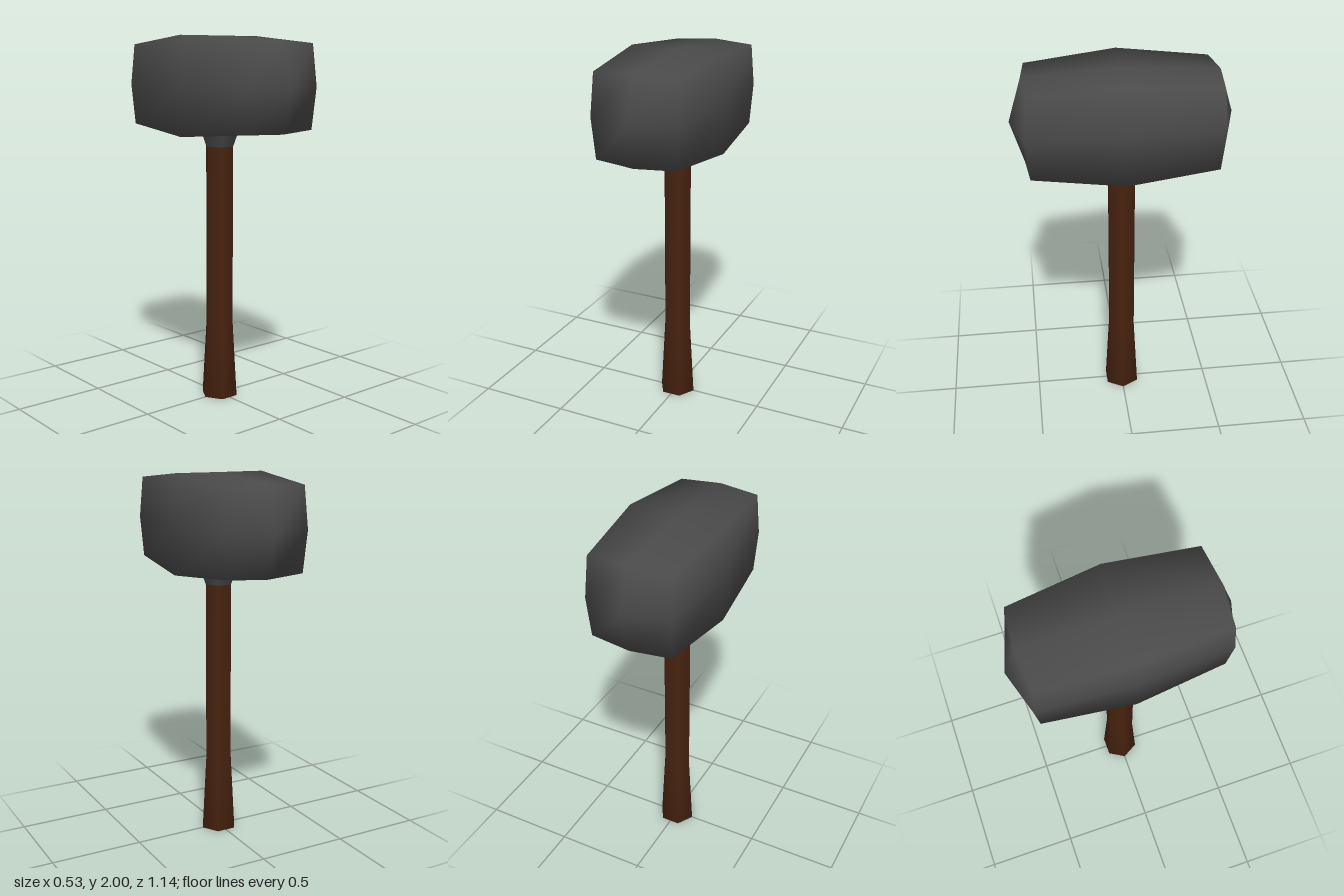
import * as THREE from 'three';
import { mergeVertices } from 'three/addons/utils/BufferGeometryUtils.js';

export function createModel() {
  const model = new THREE.Group();
  const iron = new THREE.MeshStandardMaterial({ color: 0x4a4a4a });
  iron.name = 'dark iron';
  const wood = new THREE.MeshStandardMaterial({ color: 0x48230f });
  wood.name = 'dark brown wood';

  const add = (name, geometry, material) => {
    const mesh = new THREE.Mesh(geometry, material);
    mesh.name = name;
    model.add(mesh);
    return mesh;
  };

  // Head: a block of 2 x 2 x 2 cells, bulging at the waist and at both ends
  const box = new THREE.BoxGeometry(2, 2, 2, 2, 2, 2);
  box.deleteAttribute('uv');
  box.deleteAttribute('normal');
  const head = mergeVertices(box);
  const pos = head.attributes.position;
  for (let i = 0; i < pos.count; i++) {
    const x = Math.round(pos.getX(i));
    const y = Math.round(pos.getY(i));
    const z = Math.round(pos.getZ(i));
    const offAxis = Math.abs(x) + Math.abs(y); // 0 centre, 1 edge middle, 2 corner
    const half = z === 0 ? 0.263 : offAxis === 2 ? 0.22 : 0.232;
    const depth = [0.57, 0.5, 0.48][offAxis];
    pos.setXYZ(i, x * half, 1.737 + y * half, z * depth);
  }
  head.computeVertexNormals();
  add('head', head, iron);

  // Six-sided turned parts, with corners on the x axis
  const turned = (profile) => new THREE.LatheGeometry(
    profile.map(([r, y]) => new THREE.Vector2(r, y)), 6, Math.PI / 2);

  // Handle with a flared grip and closed foot
  add('handle', turned([[0, 0], [0.103, 0], [0.078, 0.43], [0.078, 1.41]]), wood);

  // Collar between handle and head
  add('collar', turned([[0.078, 1.41], [0.106, 1.485]]), iron);

  return model;
}
